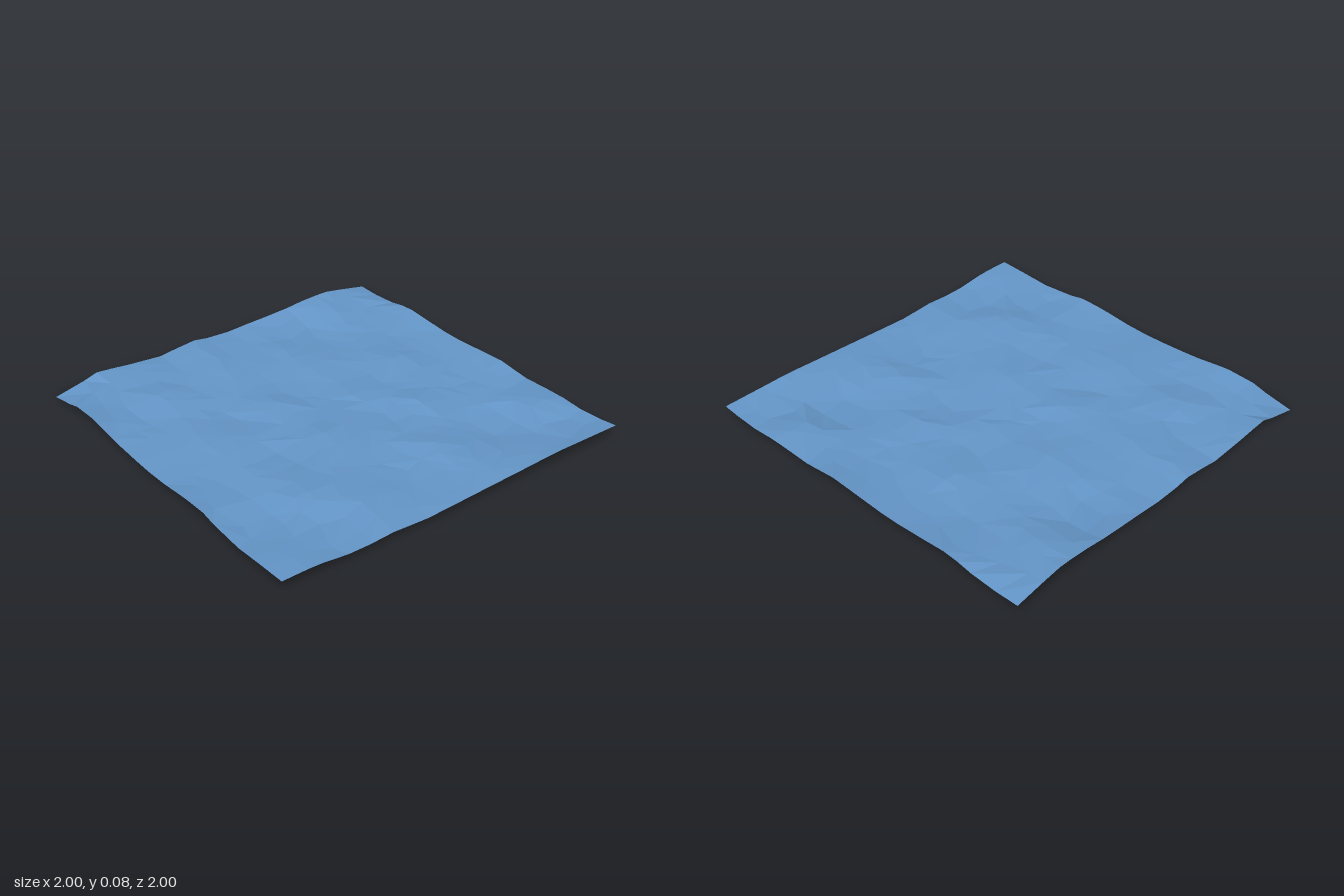
import * as THREE from 'three';

const N = 17; // facets per side

// Swell heights in hundredths of a unit: rows run back to front, columns left to right across x
const swell = [
  '44765675657',
  '85444445747',
  '87446544247',
  '63344464456',
  '54554534655',
  '44443454334',
  '66546465443',
  '34443435654',
  '54645545633',
  '64334443245',
  '05643356345',
].map((row) => [...row].map(Number));

// Catmull-Rom blend of four neighbouring samples
function spline(a, b, c, d, t) {
  return b + 0.5 * t * (c - a + t * (2 * a - 5 * b + 4 * c - d + t * (3 * (b - c) + d - a)));
}

function sample(list, u) {
  const last = list.length - 1;
  const i = Math.min(Math.floor(u), last - 1);
  const at = (k) => list[Math.max(0, Math.min(last, k))];
  return spline(at(i - 1), at(i), at(i + 1), at(i + 2), u - i);
}

// Smooth water height at a point of the sheet
function height(x, z) {
  const u = THREE.MathUtils.clamp((x + 1) * 5, 0, 10);
  const v = THREE.MathUtils.clamp((z + 1) * 5, 0, 10);
  const h = sample(swell.map((row) => sample(row, u)), v);
  return THREE.MathUtils.clamp(h * 0.01, 0, 0.087);
}

function seeded(seed) {
  return () => {
    seed = (seed * 16807) % 2147483647;
    return seed / 2147483647;
  };
}

export function createModel() {
  const group = new THREE.Group();
  const random = seeded(71);

  // Irregular low-poly sheet, its points drawn toward the crests to make them choppy
  const geometry = new THREE.PlaneGeometry(2, 2, N, N).rotateX(-Math.PI / 2);
  const position = geometry.attributes.position;
  const e = 0.04;
  for (let i = 0; i < position.count; i++) {
    let x = position.getX(i);
    let z = position.getZ(i);
    const jx = (random() - 0.5) * 0.07;
    const jz = (random() - 0.5) * 0.07;
    const onSide = Math.abs(x) > 0.999;
    const onEnd = Math.abs(z) > 0.999;
    if (!onSide) x += jx;
    if (!onEnd) z += jz;
    const y = height(x, z);
    const slopeX = (height(x + e, z) - height(x - e, z)) / (2 * e);
    const slopeZ = (height(x, z + e) - height(x, z - e)) / (2 * e);
    if (!onSide) x = THREE.MathUtils.clamp(x + slopeX * 0.12, -0.98, 0.98);
    if (!onEnd) z = THREE.MathUtils.clamp(z + slopeZ * 0.12, -0.98, 0.98);
    position.setXYZ(i, x, y, z);
  }

  // Facets split along either diagonal, so that no direction shows
  const index = [];
  for (let row = 0; row < N; row++) {
    for (let col = 0; col < N; col++) {
      const a = row * (N + 1) + col;
      const b = a + N + 1;
      if (random() < 0.5) index.push(a, b, a + 1, b, b + 1, a + 1);
      else index.push(a, b, b + 1, a, b + 1, a + 1);
    }
  }
  geometry.setIndex(index);
  geometry.computeVertexNormals();

  const water = new THREE.Mesh(
    geometry,
    new THREE.MeshStandardMaterial({ color: 0x6496c8, flatShading: true, side: THREE.DoubleSide }),
  );
  water.name = 'waterSurface';
  group.add(water);
  return group;
}
